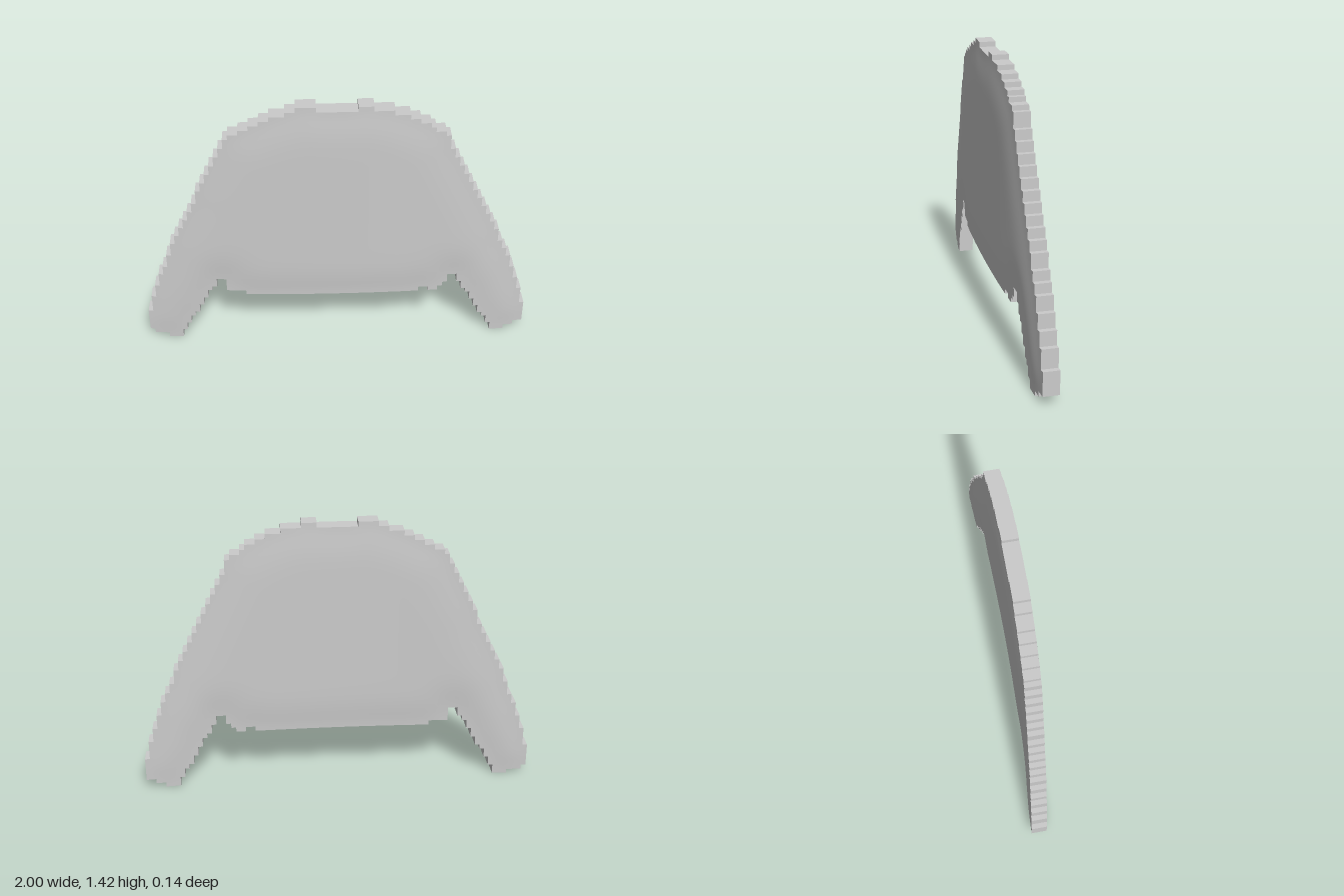
import * as THREE from 'three';

const COLS = 80, ROWS = 57, CELL = 0.025;

// Silhouette in cells: [column, height] points, snapped per column
const TOP = [[0, 7], [1, 11], [2, 14], [5, 22], [6, 25], [8, 29], [11, 35], [12, 38], [15, 44], [18, 50],
  [20, 51], [22, 52], [24, 53], [26, 54], [28, 55], [31, 56], [32, 57], [35, 57], [36, 56], [43, 56],
  [44, 57], [46, 57], [47, 56], [49, 56], [52, 55], [54, 54], [56, 53], [58, 52], [60, 50.6], [61, 49.5],
  [63, 45], [69, 33], [71, 29], [74, 22], [76, 17], [77, 14], [78, 10.6], [79, 6.6]];
const BOTTOM = [[0, 2], [1, 1], [3, 1], [4, 0], [6, 0], [7, 2], [15, 16], [16, 16], [17, 13], [20, 13],
  [21, 12], [56, 12], [57, 13], [58, 13], [59, 12], [60, 12], [61, 13], [62, 14], [63, 15.6], [64, 15.6],
  [65, 14], [72, 2], [73, 0], [75, 0], [76, 1], [77, 1], [78, 2], [79, 2]];

function sample(points, c) {
  const k = Math.max(1, points.findIndex((p) => p[0] >= c));
  const [a, b] = [points[k - 1], points[k]];
  return Math.round(a[1] + (b[1] - a[1]) * (c - a[0]) / (b[0] - a[0]));
}

const tops = [], bottoms = [];
for (let c = 0; c < COLS; c++) {
  tops.push(sample(TOP, c));
  bottoms.push(sample(BOTTOM, c));
}
const filled = (c, r) => c >= 0 && c < COLS && r >= bottoms[c] && r < tops[c];
const id = (c, r) => r * (COLS + 1) + c;

// Half thickness at each grid corner: thin at the rim, swelling inward
function thicknessField() {
  const corners = [], rim = [];
  for (let r = 0; r <= ROWS; r++) {
    for (let c = 0; c <= COLS; c++) {
      const n = filled(c, r) + filled(c - 1, r) + filled(c, r - 1) + filled(c - 1, r - 1);
      if (n > 0) corners.push([c, r]);
      if (n > 0 && n < 4) rim.push([c, r]);
    }
  }
  let field = new Map();
  for (const [c, r] of corners) {
    let d = Infinity;
    for (const [a, b] of rim) d = Math.min(d, Math.hypot(a - c, b - r));
    const t = 1 - Math.min(d * CELL / 0.2, 1);
    field.set(id(c, r), 0.0525 - 0.0145 * t * t);
  }
  // Blur away the stair steps
  for (let pass = 0; pass < 4; pass++) {
    const next = new Map();
    for (const [c, r] of corners) {
      let sum = 0, n = 0;
      for (let i = -1; i <= 1; i++) {
        for (let j = -1; j <= 1; j++) {
          const x = c + i;
          const v = x < 0 || x > COLS ? undefined : field.get(id(x, r + j));
          if (v !== undefined) { sum += v; n++; }
        }
      }
      next.set(id(c, r), sum / n);
    }
    field = next;
  }
  return field;
}

function makeGeometry(positions, index) {
  const g = new THREE.BufferGeometry();
  g.setAttribute('position', new THREE.Float32BufferAttribute(positions, 3));
  if (index) g.setIndex(index);
  g.computeVertexNormals();
  return g;
}

export function createModel() {
  const group = new THREE.Group();
  group.name = 'curvedPanel';
  const material = new THREE.MeshStandardMaterial({ color: 0xcccccc });
  const half = thicknessField();

  // Corner on the front (side 1) or back (side -1) of the bowed slab
  const corner = (c, r, side) => {
    const x = c * CELL - 1;
    return [x, r * CELL, 0.0155 - 0.043 * x * x + side * half.get(id(c, r))];
  };
  const add = (name, geometry) => {
    const mesh = new THREE.Mesh(geometry, material);
    mesh.name = name;
    group.add(mesh);
  };

  // Smooth front and back faces
  for (const side of [1, -1]) {
    const positions = [], index = [], seen = new Map();
    const vertex = (c, r) => {
      const key = id(c, r);
      if (!seen.has(key)) {
        seen.set(key, seen.size);
        positions.push(...corner(c, r, side));
      }
      return seen.get(key);
    };
    for (let c = 0; c < COLS; c++) {
      for (let r = bottoms[c]; r < tops[c]; r++) {
        const a = vertex(c, r), b = vertex(c + 1, r), d = vertex(c + 1, r + 1), e = vertex(c, r + 1);
        if (side > 0) index.push(a, b, d, a, d, e);
        else index.push(a, d, b, a, e, d);
      }
    }
    add(side > 0 ? 'frontFace' : 'backFace', makeGeometry(positions, index));
  }

  // Stepped rim: one flat wall on every exposed cell edge
  const walls = [];
  const wall = (c0, r0, c1, r1) => {
    const a = corner(c0, r0, 1), b = corner(c0, r0, -1), d = corner(c1, r1, -1), e = corner(c1, r1, 1);
    walls.push(...a, ...b, ...d, ...a, ...d, ...e);
  };
  for (let c = 0; c < COLS; c++) {
    for (let r = bottoms[c]; r < tops[c]; r++) {
      if (!filled(c, r - 1)) wall(c, r, c + 1, r);
      if (!filled(c + 1, r)) wall(c + 1, r, c + 1, r + 1);
      if (!filled(c, r + 1)) wall(c + 1, r + 1, c, r + 1);
      if (!filled(c - 1, r)) wall(c, r + 1, c, r);
    }
  }
  add('steppedRim', makeGeometry(walls));

  return group;
}
